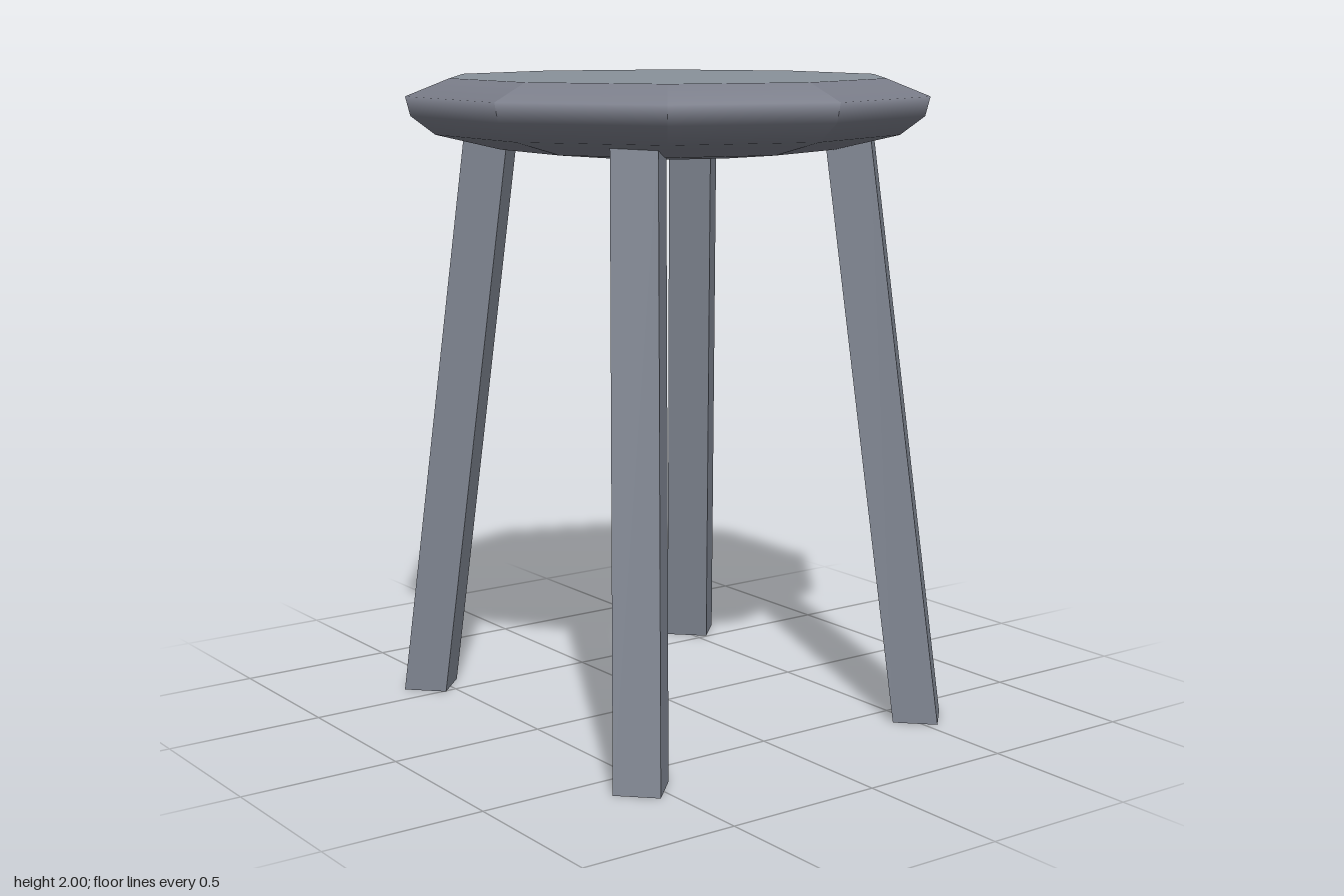
import * as THREE from 'three';

const SIDES = 10;
const paint = (color) => new THREE.MeshStandardMaterial({ color });
const topMat = paint(0x88919a);
const bodyMat = paint(0x7a7d89);
const legMat = paint(0x808692);

// Ten-sided seat body: rounded in profile, sharp between neighbouring sides
function seatBody() {
  const profile = [[0, 1.752], [0.3, 1.764], [0.53, 1.785], [0.73, 1.833], [0.805, 1.89], [0.82, 1.948], [0.685, 2]]
    .map(([r, y]) => new THREE.Vector2(r, y));
  const geo = new THREE.LatheGeometry(profile, SIDES, Math.PI / 2).toNonIndexed();
  const p = geo.attributes.position, n = geo.attributes.normal;
  const step = (Math.PI * 2) / SIDES;
  for (let i = 0; i < p.count; i += 3) {
    const cx = p.getX(i) + p.getX(i + 1) + p.getX(i + 2);
    const cz = p.getZ(i) + p.getZ(i + 1) + p.getZ(i + 2);
    // Turn all normals of one side to that side's middle direction
    const a = (Math.floor(Math.atan2(cz, cx) / step) + 0.5) * step;
    for (let k = i; k < i + 3; k++) {
      const r = Math.hypot(n.getX(k), n.getZ(k));
      n.setXYZ(k, r * Math.cos(a), n.getY(k), r * Math.sin(a));
    }
  }
  return geo;
}

// Square leg set diagonally, leaning from its foot at (x, z) in towards the seat
function legGeometry(x, z) {
  const h = 1.84, w = 0.139;
  const geo = new THREE.BoxGeometry(w, h, w);
  geo.rotateY(Math.PI / 4);
  geo.translate(0, h / 2, 0);
  const p = geo.attributes.position;
  for (let i = 0; i < p.count; i++) {
    const t = p.getY(i) / 1.81;
    p.setX(i, p.getX(i) + x + (Math.sign(x) * 0.402 - x) * t);
    p.setZ(i, p.getZ(i) + z + (Math.sign(z) * 0.395 - z) * t);
  }
  geo.computeVertexNormals();
  return geo;
}

export function createModel() {
  const model = new THREE.Group();
  model.name = 'stool';
  const add = (geo, mat, name, parent) => {
    const mesh = new THREE.Mesh(geo, mat);
    mesh.name = name;
    parent.add(mesh);
  };

  // Seat with a flat top
  const seat = new THREE.Group();
  seat.name = 'seat';
  add(seatBody(), bodyMat, 'seatBody', seat);
  const top = new THREE.CircleGeometry(0.685, SIDES).rotateX(-Math.PI / 2).translate(0, 2, 0);
  add(top, topMat, 'seatTop', seat);
  model.add(seat);

  // Four splayed legs, each given by its foot position
  const feet = {
    frontLeftLeg: [0.613, 0.54],
    frontRightLeg: [-0.592, 0.54],
    backLeftLeg: [0.6, -0.535],
    backRightLeg: [-0.603, -0.535],
  };
  for (const [name, [x, z]] of Object.entries(feet)) add(legGeometry(x, z), legMat, name, model);

  return model;
}
